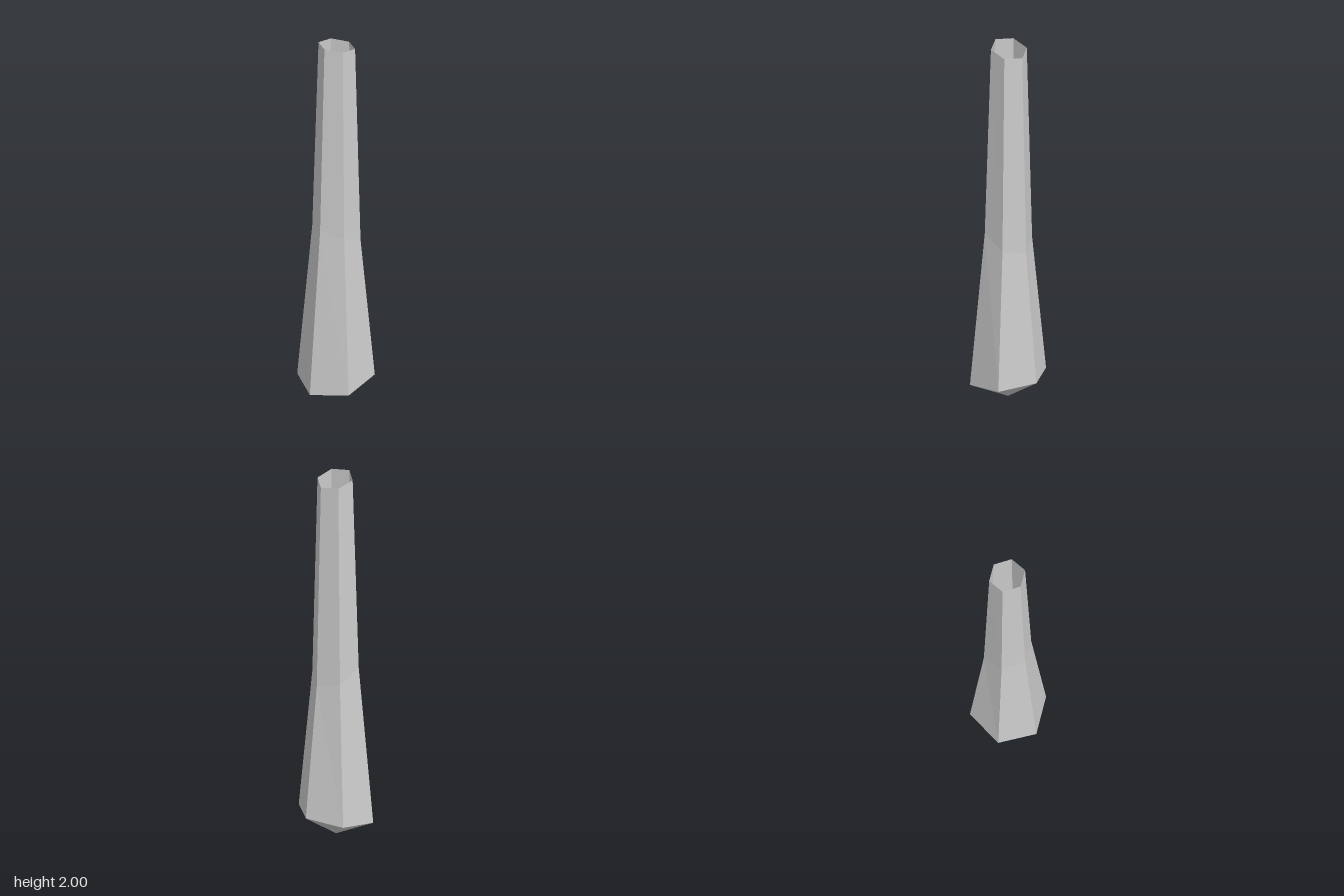
import * as THREE from 'three';

const SIDES = 6;

// Tilted hexagonal ring: centre offset cx, radius r, height y, slope of y along x
function ring({ cx, r, y, slope }) {
  return Array.from({ length: SIDES }, (_, i) => {
    const a = (i / SIDES) * Math.PI * 2;
    const x = cx + r * Math.cos(a);
    return new THREE.Vector3(x, y + slope * x, r * Math.sin(a));
  });
}

function meshFrom(name, points) {
  const geometry = new THREE.BufferGeometry().setFromPoints(points);
  geometry.computeVertexNormals();
  const material = new THREE.MeshStandardMaterial({
    color: 0xcccccc, flatShading: true, side: THREE.DoubleSide,
  });
  const mesh = new THREE.Mesh(geometry, material);
  mesh.name = name;
  return mesh;
}

export function createModel() {
  const group = new THREE.Group();
  group.name = 'taperedHexTube';

  const rings = [
    { cx: 0, r: 0.196, y: 0.112, slope: 0.19 },
    { cx: 0.003, r: 0.122, y: 0.92, slope: -0.47 },
    { cx: 0.006, r: 0.0925, y: 1.984, slope: -0.19 },
  ].map(ring);

  // Hollow shaft, open at the top
  const shaft = [];
  for (let k = 0; k < rings.length - 1; k++) {
    const [lo, hi] = [rings[k], rings[k + 1]];
    for (let i = 0; i < SIDES; i++) {
      const j = (i + 1) % SIDES;
      shaft.push(lo[i], hi[i], hi[j], lo[i], hi[j], lo[j]);
    }
  }
  group.add(meshFrom('shaft', shaft));

  // Pointed base closing the bottom
  const apex = new THREE.Vector3(0, 0, 0);
  const tip = rings[0].flatMap((p, i) => [apex, p, rings[0][(i + 1) % SIDES]]);
  group.add(meshFrom('pointedBase', tip));

  return group;
}
